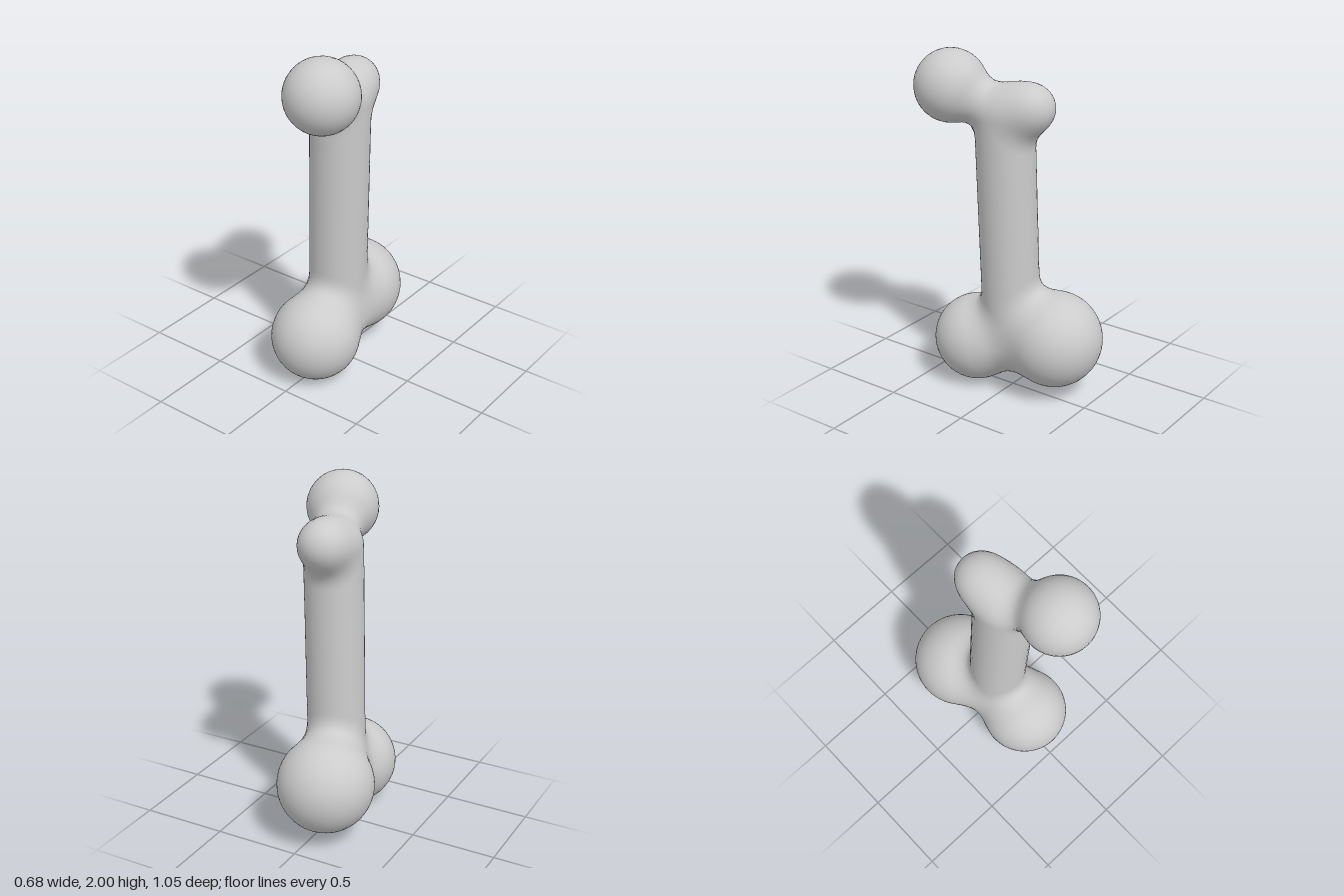
import * as THREE from 'three';

const v = (x, y, z) => new THREE.Vector3(x, y, z);

// Rounded knuckles at both ends of the bone
const knobs = [
  { at: v(0.135, 1.795, 0.32), r: 0.205 },  // upper front
  { at: v(0.015, 1.71, -0.128), r: 0.136 }, // upper back
  { at: v(0.018, 0.255, 0.24), r: 0.255 },  // lower front
  { at: v(-0.063, 0.343, -0.247), r: 0.278 }, // lower back
];
// Shaft: a slightly leaning capsule
const shaft = { a: v(0, 0.3, 0.005), b: v(0.037, 1.66, 0.03), r: 0.167 };
const BLEND = 0.12;

const axis = shaft.b.clone().sub(shaft.a);
const tmp = v(0, 0, 0);

function smoothMin(a, b) {
  const h = Math.max(BLEND - Math.abs(a - b), 0) / BLEND;
  return Math.min(a, b) - h * h * BLEND * 0.25;
}

// Signed distance to the blended bone
function distance(p) {
  const t = THREE.MathUtils.clamp(tmp.copy(p).sub(shaft.a).dot(axis) / axis.lengthSq(), 0, 1);
  let d = tmp.copy(shaft.a).addScaledVector(axis, t).distanceTo(p) - shaft.r;
  for (const k of knobs) d = smoothMin(d, p.distanceTo(k.at) - k.r);
  return d;
}

function gradient(p) {
  const e = 0.002;
  const slope = (x, y, z) =>
    distance(v(p.x + x, p.y + y, p.z + z)) - distance(v(p.x - x, p.y - y, p.z - z));
  return v(slope(e, 0, 0), slope(0, e, 0), slope(0, 0, e)).normalize();
}

// Wraps one continuous quad skin around the zero level of the distance field
function skin(min, size, step) {
  const n = size.map((s) => Math.ceil(s / step) + 1);
  const stride = [1, n[0], n[0] * n[1]];
  const field = new Float32Array(n[0] * n[1] * n[2]);
  const point = (i, j, k) => v(min[0] + i * step, min[1] + j * step, min[2] + k * step);
  const eachCell = (fn) => {
    for (let k = 0; k < n[2]; k++)
      for (let j = 0; j < n[1]; j++)
        for (let i = 0; i < n[0]; i++) fn(i, j, k, i + j * stride[1] + k * stride[2]);
  };
  eachCell((i, j, k, id) => { field[id] = distance(point(i, j, k)); });

  // One vertex per crossed cell, pulled onto the surface
  const positions = [], normals = [], indices = [], vertexOf = new Map();
  eachCell((i, j, k, id) => {
    if (i === n[0] - 1 || j === n[1] - 1 || k === n[2] - 1) return;
    let inside = 0;
    for (let c = 0; c < 8; c++) {
      const corner = id + (c & 1) + ((c >> 1) & 1) * stride[1] + (c >> 2) * stride[2];
      if (field[corner] < 0) inside++;
    }
    if (inside === 0 || inside === 8) return;
    const p = point(i + 0.5, j + 0.5, k + 0.5);
    for (let s = 0; s < 4; s++) p.addScaledVector(gradient(p), -distance(p));
    vertexOf.set(id, positions.length / 3);
    positions.push(p.x, p.y, p.z);
    normals.push(...gradient(p).toArray());
  });

  // One quad around every grid edge that passes through the surface
  eachCell((i, j, k, id) => {
    const cell = [i, j, k];
    for (let a = 0; a < 3; a++) {
      const b = (a + 1) % 3, c = (a + 2) % 3;
      if (cell[a] === n[a] - 1 || !cell[b] || !cell[c]) continue;
      const here = field[id] < 0;
      if (here === field[id + stride[a]] < 0) continue;
      const q = [id - stride[b] - stride[c], id - stride[c], id, id - stride[b]]
        .map((cellId) => vertexOf.get(cellId));
      if (!here) q.reverse();
      indices.push(q[0], q[1], q[2], q[0], q[2], q[3]);
    }
  });

  const geometry = new THREE.BufferGeometry();
  geometry.setAttribute('position', new THREE.Float32BufferAttribute(positions, 3));
  geometry.setAttribute('normal', new THREE.Float32BufferAttribute(normals, 3));
  geometry.setIndex(indices);
  return geometry;
}

export function createModel() {
  const group = new THREE.Group();
  const bone = new THREE.Mesh(
    skin([-0.42, -0.08, -0.6], [0.84, 2.16, 1.2], 0.03),
    new THREE.MeshStandardMaterial({ color: 0xcccccc }),
  );
  bone.name = 'bone';
  group.add(bone);
  return group;
}
